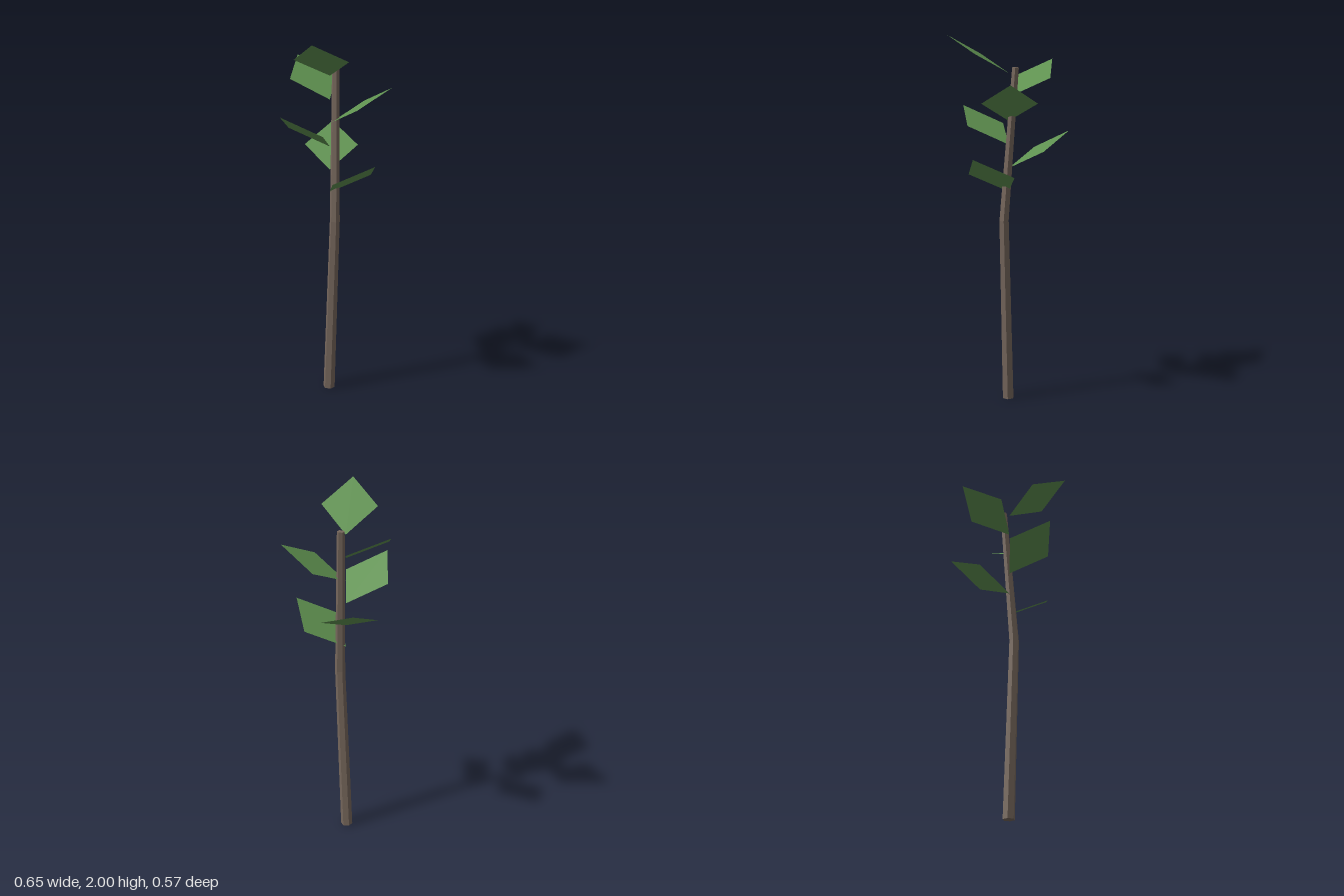
import * as THREE from 'three';

const bark = new THREE.MeshStandardMaterial({ color: 0x75665b, flatShading: true });
bark.name = 'bark brown';
const green = new THREE.MeshStandardMaterial({ color: 0x5f9150, flatShading: true, side: THREE.DoubleSide });
green.name = 'leaf green';

// Six-sided tapering stem with one bend: rings are moved to the listed centres
function createStem() {
  const rings = [ // x, y, z, radius
    [-0.005, 0, -0.04, 0.033],
    [0.037, 1.01, -0.04, 0.028],
    [-0.004, 1.83, -0.085, 0.02],
  ];
  const geometry = new THREE.CylinderGeometry(1, 1, 2, 6, 2);
  const p = geometry.attributes.position;
  for (let i = 0; i < p.count; i++) {
    const [x, y, z, r] = rings[Math.round(p.getY(i)) + 1];
    p.setXYZ(i, x + p.getX(i) * r, y, z + p.getZ(i) * r);
  }
  geometry.computeVertexNormals();
  const stem = new THREE.Mesh(geometry, bark);
  stem.name = 'stem';
  return stem;
}

// Flat diamond leaf, attached at one corner and rising outward along +x
function createLeafGeometry() {
  const geometry = new THREE.BufferGeometry();
  geometry.setAttribute('position', new THREE.Float32BufferAttribute([
    0, 0, 0,
    0.165, 0.1, 0.147,
    0.33, 0.2, 0,
    0.165, 0.1, -0.147,
  ], 3));
  geometry.setIndex([0, 1, 2, 0, 2, 3]);
  geometry.computeVertexNormals();
  return geometry;
}

export function createModel() {
  const model = new THREE.Group();
  model.name = 'sapling';
  model.add(createStem());

  // Leaves spiral up the stem
  const leafGeometry = createLeafGeometry();
  for (let i = 0; i < 6; i++) {
    const leaf = new THREE.Mesh(leafGeometry, green);
    leaf.name = `leaf${i + 1}`;
    leaf.position.set(-0.004, 1.165 + i * 0.127, -0.042);
    leaf.rotation.y = i * 2.3;
    model.add(leaf);
  }
  return model;
}
